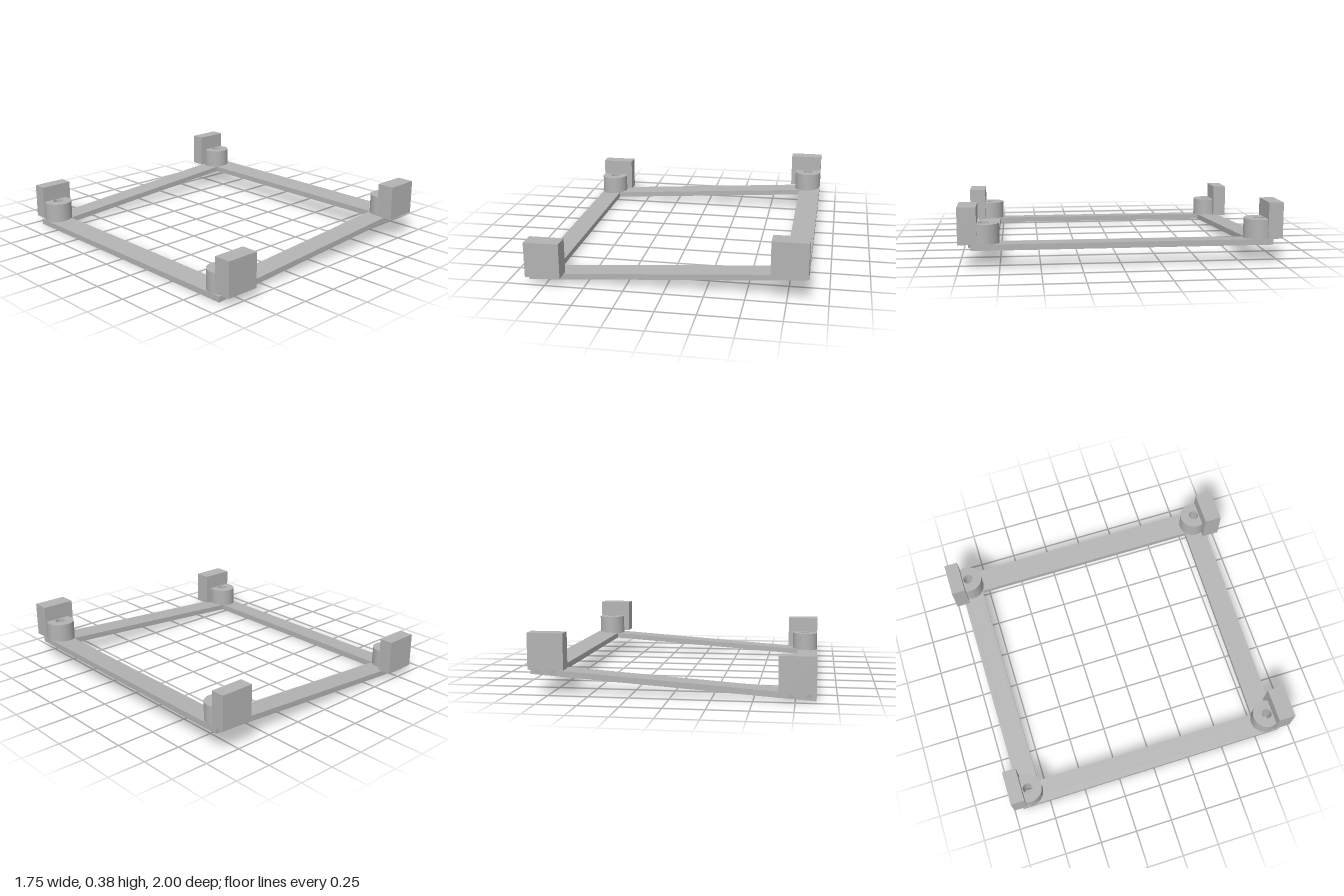
import * as THREE from 'three';
import { toCreasedNormals } from 'three/addons/utils/BufferGeometryUtils.js';

const HOLE = 0.033;          // screw hole radius
const BOSS = 0.095;          // boss radius
const POST_X = 0.78;         // boss centre in x (both sides)
const FRONT_Z = 0.845, BACK_Z = -0.87;

function circlePath(Type, x, y, r) {
  const p = new Type();
  p.absarc(x, y, r, 0, Math.PI * 2, false);
  return p;
}

function rectPath(Type, x0, y0, x1, y1) {
  return new Type([[x0, y0], [x1, y0], [x1, y1], [x0, y1]].map(([x, y]) => new THREE.Vector2(x, y)));
}

// Extrude a plan shape upwards (shape y is -z)
function extrudeUp(shape, y0, height) {
  const g = new THREE.ExtrudeGeometry(shape, { depth: height, bevelEnabled: false, curveSegments: 24 });
  g.rotateX(-Math.PI / 2);
  g.translate(0, y0, 0);
  return g;
}

export function createModel() {
  const group = new THREE.Group();
  const grey = new THREE.MeshStandardMaterial({ color: 0xb3b3b3 });
  grey.name = 'grey plastic';

  const add = (parent, name, geometry) => {
    const mesh = new THREE.Mesh(geometry, grey);
    mesh.name = name;
    parent.add(mesh);
  };

  // Sloping rectangular frame with four corner holes
  const plan = rectPath(THREE.Shape, -0.875, -0.92, 0.875, 0.94);
  plan.holes.push(rectPath(THREE.Path, -0.725, -0.77, 0.72, 0.795));
  for (const x of [-POST_X, POST_X])
    for (const z of [FRONT_Z, BACK_Z]) plan.holes.push(circlePath(THREE.Path, x, -z, HOLE));
  const frame = extrudeUp(plan, 0, 0.037);
  const p = frame.attributes.position;
  for (let i = 0; i < p.count; i++) p.setY(i, p.getY(i) + 0.0686 * (p.getX(i) + 0.875));
  add(group, 'slopingFrame', toCreasedNormals(frame, 0.6));

  // Level corner mounts: drilled boss plus upright stop block
  for (const side of [-1, 1]) {
    const base = side < 0 ? 0.05 : 0.157;
    for (const front of [true, false]) {
      const mount = new THREE.Group();
      mount.name = (front ? 'front' : 'back') + (side > 0 ? 'Left' : 'Right') + 'Mount';

      const z = front ? FRONT_Z : BACK_Z;
      const ring = circlePath(THREE.Shape, side * POST_X, -z, BOSS);
      ring.holes.push(circlePath(THREE.Path, side * POST_X, -z, HOLE));
      add(mount, 'boss', toCreasedNormals(extrudeUp(ring, base - 0.03, 0.15), 0.6));

      const [z0, z1] = front ? [0.885, 1] : [-1, -0.908];
      const block = new THREE.BoxGeometry(0.225, 0.228, z1 - z0);
      block.translate(side * 0.7625, base + 0.114, (z0 + z1) / 2);
      add(mount, 'stopBlock', block);
      group.add(mount);
    }
  }
  return group;
}
